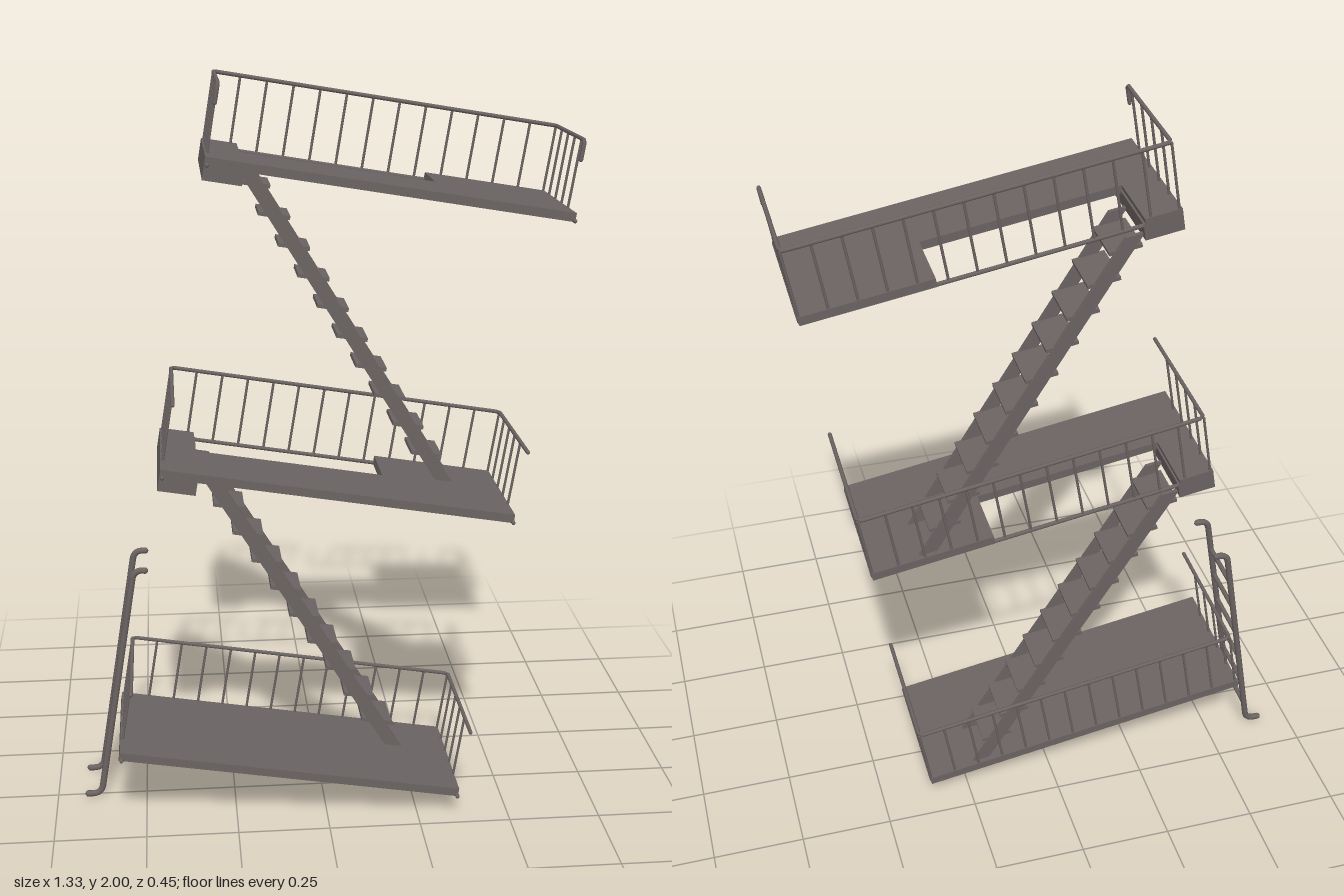
import * as THREE from 'three';

const PITCH = 0.809;              // height between landings
const X0 = -0.595, X1 = 0.348;    // landing ends
const Z0 = -0.183, Z1 = 0.206;    // landing back and front
const RX0 = -0.588, RX1 = 0.345, RZ = -0.178; // railing lines
const BASE = 0.105, THICK = 0.023;

const metal = new THREE.MeshStandardMaterial({ color: 0x6a6362 });
const V = (x, y, z) => new THREE.Vector3(x, y, z);

function add(parent, name, geometry, x = 0, y = 0, z = 0) {
  const mesh = new THREE.Mesh(geometry, metal);
  mesh.name = name;
  mesh.position.set(x, y, z);
  parent.add(mesh);
  return mesh;
}

// round bar between two points
function bar(parent, name, a, b, r) {
  const d = b.clone().sub(a);
  const m = add(parent, name, new THREE.CylinderGeometry(r, r, d.length(), 8));
  m.position.copy(a).addScaledVector(d, 0.5);
  m.quaternion.setFromUnitVectors(V(0, 1, 0), d.normalize());
}

// pipe through points with small rounded corners, capped at both ends
function pipe(parent, name, pts, r, bend = 0.02) {
  const path = new THREE.CurvePath();
  let last = pts[0];
  for (let i = 1; i < pts.length - 1; i++) {
    const p = pts[i];
    const a = p.clone().add(pts[i - 1].clone().sub(p).setLength(bend));
    const b = p.clone().add(pts[i + 1].clone().sub(p).setLength(bend));
    path.add(new THREE.LineCurve3(last, a));
    path.add(new THREE.QuadraticBezierCurve3(a, p, b));
    last = b;
  }
  const end = pts[pts.length - 1];
  path.add(new THREE.LineCurve3(last, end));
  add(parent, name, new THREE.TubeGeometry(path, 120, r, 8));
  for (const p of [pts[0], end]) add(parent, name + 'End', new THREE.SphereGeometry(r, 8, 6), p.x, p.y, p.z);
}

// extrude an outline by a depth
function plate(points, depth) {
  const shape = new THREE.Shape(points.map(([x, y]) => new THREE.Vector2(x, y)));
  return new THREE.ExtrudeGeometry(shape, { depth, bevelEnabled: false });
}

function landing(level) {
  const g = new THREE.Group();
  g.name = 'landing' + (level + 1);
  g.position.y = BASE + level * PITCH;

  // deck, with a stair opening at the back on the upper levels
  const outline = [[X0, Z0], [X0, Z1], [X1, Z1], [X1, Z0]];
  if (level > 0) outline.push([0.015, Z0], [0.015, -0.004], [-0.5, -0.004], [-0.5, Z0]);
  add(g, 'deck', plate(outline, THICK).rotateX(Math.PI / 2), 0, THICK, 0);

  // beam under the end where the stair arrives
  if (level > 0) {
    add(g, 'endBeam', new THREE.BoxGeometry(0.1, 0.045, Z1 - Z0), X0 + 0.05, -0.0125, (Z0 + Z1) / 2);
  }

  // handrail and bottom rail; the top landing's handrail ends in hooks
  const H = 0.2;
  const hooked = level === 2;
  const zEnd = hooked ? 0.152 : 0.216;
  const hand = [V(RX0, H, zEnd), V(RX0, H, RZ), V(RX1, H, RZ), V(RX1, H, zEnd)];
  if (hooked) {
    hand.unshift(V(RX0, H - 0.05, zEnd));
    hand.push(V(RX1, H - 0.05, zEnd));
  }
  pipe(g, 'handrail', hand, 0.0055, 0.012);
  pipe(g, 'bottomRail', [V(RX0, 0.004, 0.216), V(RX0, 0.004, RZ), V(RX1, 0.004, RZ), V(RX1, 0.004, 0.216)], 0.0055, 0.006);

  // balusters along the back and both ends
  for (let i = 0; i <= 13; i++) {
    const x = RX0 + (RX1 - RX0) * i / 13;
    bar(g, 'baluster', V(x, 0, RZ), V(x, H, RZ), 0.0035);
  }
  for (const x of [RX0, RX1]) {
    for (let i = 1; i <= 4; i++) bar(g, 'baluster', V(x, 0, RZ + 0.074 * i), V(x, H, RZ + 0.074 * i), 0.0035);
  }
  return g;
}

function stair(level) {
  const g = new THREE.Group();
  g.name = 'stair' + (level + 1);
  g.position.y = level * PITCH;

  // two sloping stringers
  const w = 0.024, zMid = -0.097, half = 0.072, t = 0.01;
  const outline = [[0.192 - w, 0.126], [0.192 + w, 0.126], [-0.476 + w, 0.892], [-0.476 - w, 0.892]];
  for (const s of [-1, 1]) add(g, 'stringer', plate(outline, t), 0, 0, zMid + s * (half - t / 2) - t / 2);

  // treads
  for (let i = 0; i < 10; i++) {
    add(g, 'tread', new THREE.BoxGeometry(0.085, 0.01, 2 * half - t), 0.131 - 0.0644 * i, 0.195 + 0.0735 * i, zMid);
  }
  return g;
}

// hooked ladder at the end of the lowest landing
function ladder() {
  const g = new THREE.Group();
  g.name = 'ladder';
  const x = -0.62, sides = [-0.137, 0.021];
  for (const z of sides) {
    pipe(g, 'ladderRail', [V(-0.657, -0.1, z), V(x, -0.094, z), V(x, 0.585, z), V(-0.589, 0.588, z)], 0.009, 0.026);
  }
  for (let i = 0; i < 6; i++) bar(g, 'rung', V(x, -0.025 + 0.1 * i, sides[0]), V(x, -0.025 + 0.1 * i, sides[1]), 0.007);
  return g;
}

export function createModel() {
  const model = new THREE.Group();
  model.name = 'fireEscape';
  const tilted = new THREE.Group();
  tilted.name = 'tiltedStructure';
  // the whole structure leans to one side and slightly back
  tilted.rotation.set(-0.022, 0, -0.164);
  for (let level = 0; level < 3; level++) tilted.add(landing(level));
  for (let level = 0; level < 2; level++) tilted.add(stair(level));
  tilted.add(ladder());
  model.add(tilted);
  return model;
}
